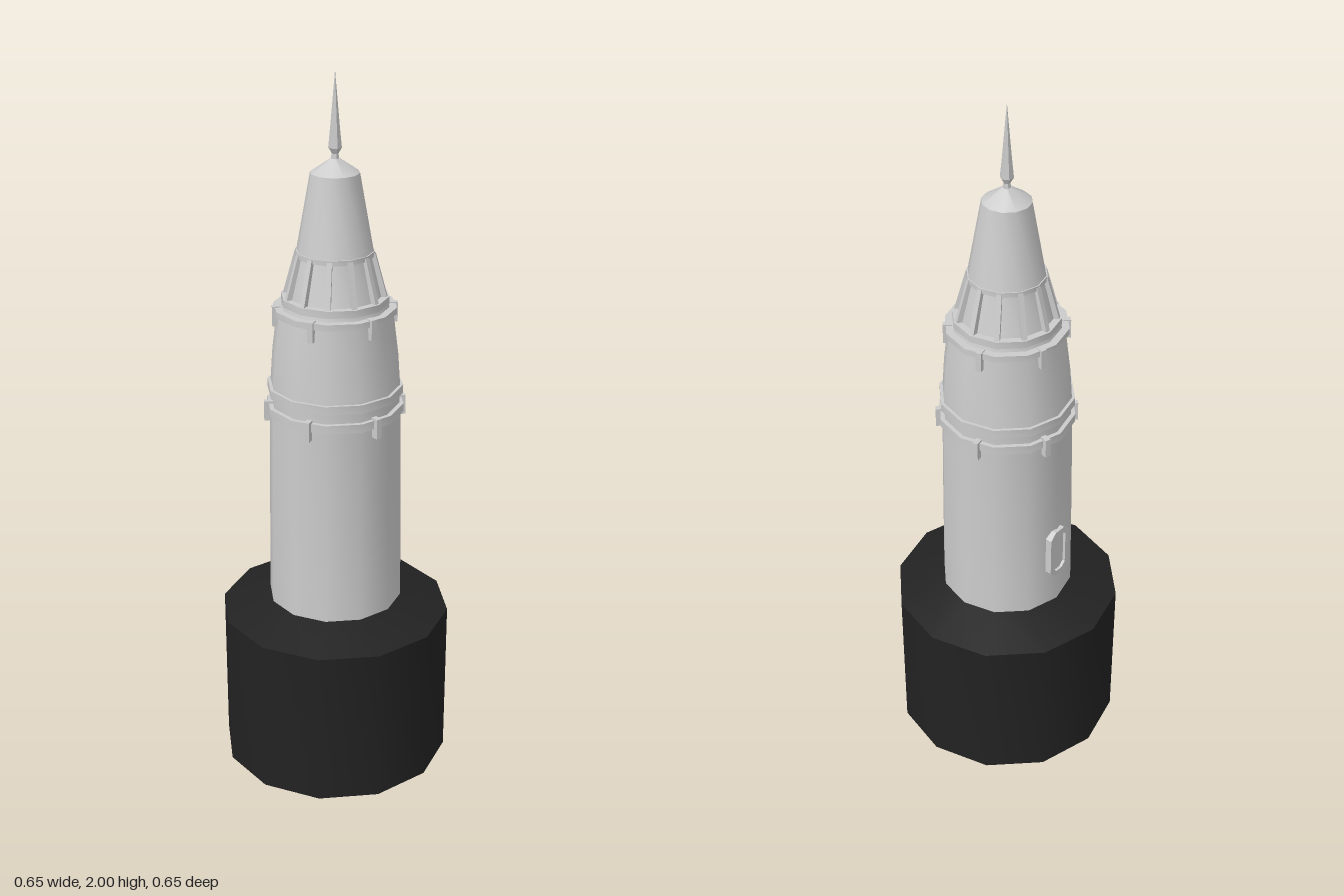
import * as THREE from 'three';
import { toCreasedNormals } from 'three/addons/utils/BufferGeometryUtils.js';

const SIDES = 12;
const TURN = -0.04; // slight twist of the twelve-sided plan
const grey = new THREE.MeshStandardMaterial({ color: 0xcccccc, side: THREE.DoubleSide });
const dark = new THREE.MeshStandardMaterial({ color: 0x222222, side: THREE.DoubleSide });

export function createModel() {
  const model = new THREE.Group();
  model.name = 'lighthouse';

  const add = (name, geometry, material = grey, parent = model) => {
    const mesh = new THREE.Mesh(geometry, material);
    mesh.name = name;
    parent.add(mesh);
    return mesh;
  };

  // Turned part from [radius, height] pairs, listed bottom to top
  const turned = (name, profile, material = grey, sides = SIDES) => {
    const points = profile.map(([r, y]) => new THREE.Vector2(r, y));
    const lathe = new THREE.LatheGeometry(points, sides, TURN);
    return add(name, toCreasedNormals(lathe, sides < SIDES ? 0.2 : 0.6), material);
  };

  // Raised band with a rectangular section
  const band = (name, inner, outer, y0, y1) =>
    turned(name, [[inner, y0], [outer, y0], [outer, y1], [inner, y1]]);

  // Group placed on the tower axis and turned so its +z points outward
  const spoke = (name, angle) => {
    const group = new THREE.Group();
    group.name = name;
    group.rotation.y = angle;
    model.add(group);
    return group;
  };

  // Foundation and tower
  turned('foundation', [[0.327, 0], [0.327, 0.458], [0.188, 0.5]], dark);
  turned('lowerTower', [[0.19, 0.49], [0.187, 0.75], [0.182, 1.08]]);
  turned('towerCollar', [[0.178, 1.08], [0.178, 1.14]]);
  turned('upperTower', [[0.18, 1.14], [0.173, 1.24], [0.158, 1.36]]);
  band('lowerRing', 0.17, 0.19, 1.072, 1.096);
  band('middleRing', 0.17, 0.188, 1.126, 1.15);
  band('galleryRing', 0.14, 0.168, 1.354, 1.372);
  turned('galleryFloor', [[0.158, 1.368], [0.12, 1.372]]);
  turned('lanternCurb', [[0.148, 1.37], [0.145, 1.382]]);
  band('lanternSill', 0.11, 0.147, 1.382, 1.402);

  // Lantern room: recessed panes behind sloping bars
  turned('lanternPanes', [[0.128, 1.4], [0.099, 1.52]]);
  band('lanternHead', 0.09, 0.107, 1.512, 1.526);
  const slope = Math.atan2(0.034, 0.124);
  for (let i = 0; i < SIDES; i++) {
    const holder = spoke('lanternBar', TURN + (i * Math.PI * 2) / SIDES);
    const bar = add('bar', new THREE.BoxGeometry(0.014, 0.128, 0.018), grey, holder);
    bar.position.set(0, 1.458, 0.116);
    bar.rotation.x = -slope;
  }

  // Roof, cap and spire
  turned('roof', [[0.095, 1.522], [0.104, 1.524], [0.066, 1.735]]);
  turned('roofCap', [[0.066, 1.735], [0.012, 1.772], [0, 1.772]]);
  turned('spire', [[0.012, 1.765], [0.009, 1.785], [0.018, 1.8], [0.013, 1.85], [0, 2]], grey, 6);

  // Clips under the rings, one on every other face
  for (let i = 0; i < 6; i++) {
    const holder = spoke('ringClips', TURN + Math.PI / SIDES + (i * Math.PI) / 3);
    for (const [y, r] of [[1.074, 0.184], [1.347, 0.158]]) {
      const clip = add('clip', new THREE.BoxGeometry(0.016, 0.056, 0.024), grey, holder);
      clip.position.set(0, y, r);
    }
  }

  // Door with chamfered frame, on the -x side
  const outline = (Kind, w, h, c) => new Kind([
    [-w + c, -h], [w - c, -h], [w, -h + c], [w, h - c],
    [w - c, h], [-w + c, h], [-w, h - c], [-w, -h + c],
  ].map(([x, y]) => new THREE.Vector2(x, y)));
  const door = spoke('door', TURN - Math.PI / 2);
  door.position.y = 0.68;
  const frameShape = outline(THREE.Shape, 0.038, 0.08, 0.02);
  frameShape.holes.push(outline(THREE.Path, 0.025, 0.066, 0.014));
  const frame = new THREE.ExtrudeGeometry(frameShape, { depth: 0.025, bevelEnabled: false });
  add('doorFrame', frame, grey, door).position.z = 0.172;
  const panel = new THREE.ExtrudeGeometry(outline(THREE.Shape, 0.026, 0.067, 0.014), { depth: 0.015, bevelEnabled: false });
  add('doorPanel', panel, grey, door).position.z = 0.174;

  return model;
}
